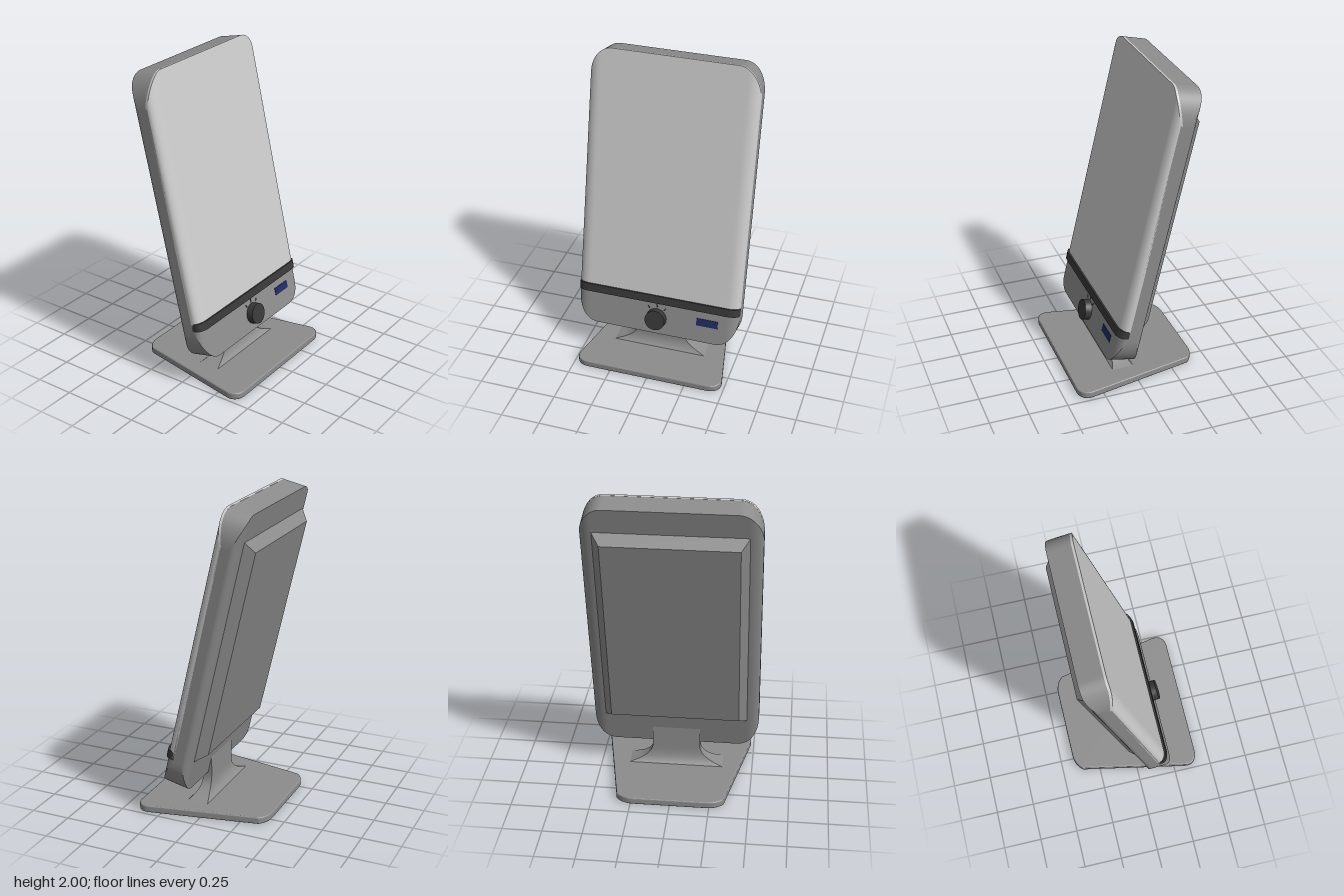
import * as THREE from 'three';

const mat = (color) => new THREE.MeshStandardMaterial({ color });
const bodyGrey = mat(0x8c8c8c);
const lightGrey = mat(0xcccccc);
const darkGrey = mat(0x383838);
const blue = mat(0x202b63);

function mesh(name, geometry, material, parent) {
  const m = new THREE.Mesh(geometry, material);
  m.name = name;
  parent.add(m);
  return m;
}

// Columns across the width, dense towards the rounded sides
const HALF_W = 0.535, HALF_H = 0.91, HALF_D = 0.08;
const side = [];
for (let i = 0; i <= 16; i++) side.push(0.395 + 0.14 * Math.sin((i / 16) * Math.PI / 2));
const columns = [...side.map((x) => -x).reverse(), ...side];

// Drop of an elliptical corner that starts `r` inside the side edge
function corner(x, r, drop) {
  const u = Math.min(1, Math.max(0, (Math.abs(x) - HALF_W + r) / r));
  return drop * (1 - Math.sqrt(1 - u * u));
}
const outline = (x) => HALF_H - corner(x, 0.14, 0.2);
const depth = (x) => HALF_D - corner(x, 0.075, 0.045);

// Lofts a slab along x; each function gives a limit at a column
function slab(yTop, yBottom, zFront, zBack) {
  const ring = (x) => [
    [x, yTop(x), zFront(x)], [x, yBottom(x), zFront(x)],
    [x, yBottom(x), zBack(x)], [x, yTop(x), zBack(x)],
  ];
  const rings = columns.map(ring);
  const pos = [], index = [];
  for (let k = 0; k < 4; k++) {
    const start = pos.length / 3;
    rings.forEach((r) => pos.push(...r[k], ...r[(k + 1) % 4]));
    for (let i = 0; i < rings.length - 1; i++) {
      const a = start + i * 2;
      index.push(a, a + 1, a + 3, a, a + 3, a + 2);
    }
  }
  for (const r of [rings[rings.length - 1], [...rings[0]].reverse()]) {
    const s = pos.length / 3;
    r.forEach((p) => pos.push(...p));
    index.push(s, s + 1, s + 2, s, s + 2, s + 3);
  }
  const g = new THREE.BufferGeometry();
  g.setAttribute('position', new THREE.Float32BufferAttribute(pos, 3));
  g.setIndex(index);
  g.computeVertexNormals();
  return g;
}

// Rounded trapezoid foot plate, wider at the front
function basePlate() {
  const s = new THREE.Shape();
  s.moveTo(-0.40, -0.412);
  s.lineTo(0.40, -0.412);
  s.bezierCurveTo(0.46, -0.412, 0.49, -0.37, 0.478, -0.32);
  s.lineTo(0.342, 0.365);
  s.quadraticCurveTo(0.30, 0.415, 0.23, 0.415);
  s.lineTo(-0.23, 0.415);
  s.quadraticCurveTo(-0.30, 0.415, -0.342, 0.365);
  s.lineTo(-0.478, -0.32);
  s.bezierCurveTo(-0.49, -0.37, -0.46, -0.412, -0.40, -0.412);
  const b = 0.008;
  const g = new THREE.ExtrudeGeometry(s, {
    depth: 0.029, bevelThickness: b, bevelSize: b, bevelOffset: -b, bevelSegments: 3, curveSegments: 12,
  });
  return g.rotateX(-Math.PI / 2).translate(0, b, 0);
}

// Rectangular neck flaring into the plate: rows of [y, half width, half depth]
function neckGeometry() {
  const rows = [
    [0.04, 0.32, 0.075], [0.05, 0.29, 0.064], [0.063, 0.25, 0.052], [0.08, 0.215, 0.042],
    [0.1, 0.187, 0.035], [0.125, 0.167, 0.031], [0.155, 0.156, 0.03], [0.19, 0.155, 0.03], [0.34, 0.155, 0.03],
  ];
  const n = rows.length - 1;
  const g = new THREE.BoxGeometry(2, 1, 2, 1, n, 1);
  const p = g.attributes.position;
  for (let i = 0; i < p.count; i++) {
    const [y, hx, hz] = rows[Math.round((p.getY(i) + 0.5) * n)];
    p.setXYZ(i, p.getX(i) * hx, y, p.getZ(i) * hz);
  }
  g.computeVertexNormals();
  return g;
}

// Raised back cover with sloping edges
function backCoverGeometry() {
  const g = new THREE.BoxGeometry(0.93, 1.46, 0.07);
  const p = g.attributes.position;
  for (let i = 0; i < p.count; i++) {
    if (p.getZ(i) < 0) {
      p.setX(i, Math.sign(p.getX(i)) * 0.41);
      p.setY(i, Math.sign(p.getY(i)) * 0.67);
    }
  }
  g.computeVertexNormals();
  return g.translate(0, 0.03, -0.107);
}

export function createModel() {
  const model = new THREE.Group();
  model.name = 'lightPanelOnStand';

  // Stand
  mesh('basePlate', basePlate(), bodyGrey, model);
  mesh('neck', neckGeometry(), bodyGrey, model).position.z = 0.066;

  // Tilted head
  const head = new THREE.Group();
  head.name = 'head';
  head.position.set(0, 1.095, -0.065);
  head.rotation.x = -0.227;
  model.add(head);

  mesh('housing', slab(outline, (x) => -outline(x), depth, (x) => -depth(x)), bodyGrey, head);
  mesh('lightScreen', slab((x) => outline(x) + 0.001, () => -0.65, (x) => depth(x) + 0.003, (x) => depth(x) - 0.012),
    lightGrey, head);
  mesh('trimBand', slab(() => -0.643, () => -0.695, (x) => depth(x) + 0.015, (x) => depth(x) - 0.01), darkGrey, head);
  mesh('backCover', backCoverGeometry(), bodyGrey, head);

  // Controls
  const knob = mesh('knob', new THREE.CylinderGeometry(0.066, 0.067, 0.05, 40).rotateX(Math.PI / 2), darkGrey, head);
  knob.position.set(0, -0.803, 0.098);
  const display = mesh('display', new THREE.BoxGeometry(0.14, 0.05, 0.01), blue, head);
  display.position.set(0.335, -0.773, 0.078);
  for (const a of [-0.62, 0, 0.62]) {
    const tick = mesh('dialMark', new THREE.BoxGeometry(0.008, 0.022, 0.004), darkGrey, head);
    tick.position.set(Math.sin(a) * 0.092, -0.803 + Math.cos(a) * 0.086, 0.08);
    tick.rotation.z = -a;
  }

  return model;
}
